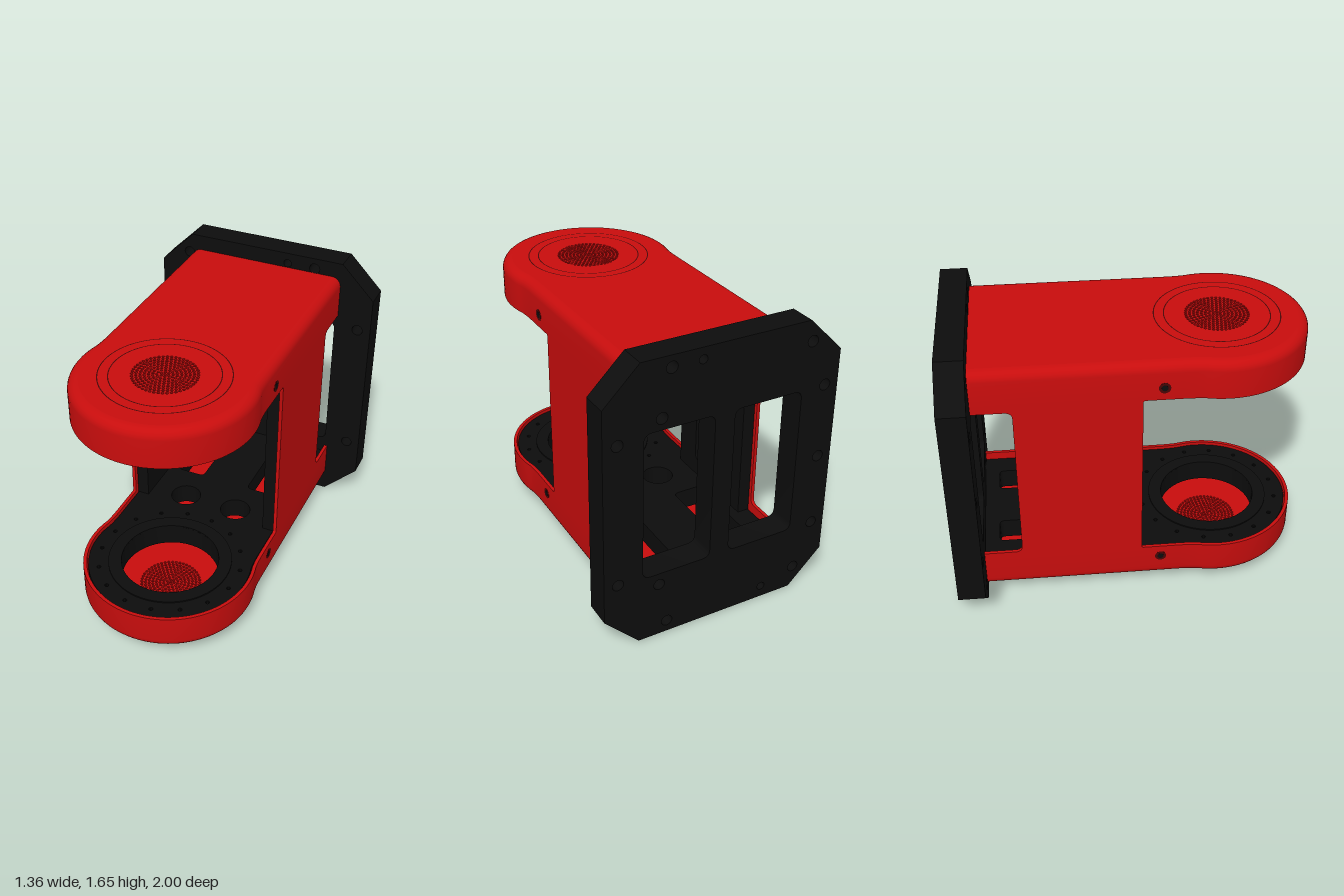
import * as THREE from 'three';
import { toCreasedNormals } from 'three/addons/utils/BufferGeometryUtils.js';

const red = new THREE.MeshStandardMaterial({ color: 0xc80d0d, side: THREE.DoubleSide });
const darkRed = new THREE.MeshStandardMaterial({ color: 0x4a0505, side: THREE.DoubleSide });
const black = new THREE.MeshStandardMaterial({ color: 0x0d0d0d });

const MID = 0.8275;          // height of the mirror plane between the two arms
const BACK = -0.845, HALF = 0.475, R = 0.497, CZ = 0.5;
const LIP = 1.342, H = 0.218, SKIN = 0.02, ROUND = 0.055;

function add(parent, name, geometry, material) {
  const mesh = new THREE.Mesh(geometry, material);
  mesh.name = name;
  parent.add(mesh);
  return mesh;
}

// Arm outline in (x, z), inset by d: straight sides, soft neck, round head
function armOutline(d) {
  const w = HALF - d, r = R - d, a0 = -0.25, side = [];
  side.push(new THREE.Vector2(w, BACK));
  const neck = new THREE.QuadraticBezierCurve(
    new THREE.Vector2(w, 0.26), new THREE.Vector2(w, 0.33),
    new THREE.Vector2(r * Math.cos(a0), CZ + r * Math.sin(a0)));
  side.push(...neck.getPoints(6));
  for (let i = 1; i <= 30; i++) {
    const a = a0 + (Math.PI / 2 - a0) * i / 30;
    side.push(new THREE.Vector2(r * Math.cos(a), CZ + r * Math.sin(a)));
  }
  const mirrored = side.slice(0, -1).reverse().map(p => new THREE.Vector2(-p.x, p.y));
  return [...side, ...mirrored];
}

function circle(x, y, r, n = 32) {
  const pts = [];
  for (let i = 0; i < n; i++) {
    const a = -2 * Math.PI * i / n;
    pts.push(new THREE.Vector2(x + r * Math.cos(a), y + r * Math.sin(a)));
  }
  return new THREE.Path(pts);
}

function roundRect(x0, y0, x1, y1, r) {
  const p = new THREE.Path();
  p.moveTo(x0 + r, y0);
  p.lineTo(x1 - r, y0).quadraticCurveTo(x1, y0, x1, y0 + r);
  p.lineTo(x1, y1 - r).quadraticCurveTo(x1, y1, x1 - r, y1);
  p.lineTo(x0 + r, y1).quadraticCurveTo(x0, y1, x0, y1 - r);
  p.lineTo(x0, y0 + r).quadraticCurveTo(x0, y0, x0 + r, y0);
  return p;
}

const extrude = (shape, depth) => toCreasedNormals(
  new THREE.ExtrudeGeometry(shape, { depth, bevelEnabled: false, curveSegments: 6 }), 0.6);

// Horizontal slab from an (x, z) shape
function slab(points, holes, y0, y1) {
  const shape = new THREE.Shape(points);
  shape.holes.push(...holes);
  return extrude(shape, y1 - y0).rotateX(Math.PI / 2).translate(0, y1, 0);
}

// Upright sheet from a (z, y) shape, between x0 and x1
function sheet(shape, x0, x1) {
  return extrude(shape, x1 - x0).rotateY(-Math.PI / 2).translate(x1, 0, 0);
}

// Hollow rounded rim swept along the arm outline
function rimGeometry() {
  const profile = [[ROUND, H - SKIN], [SKIN, H - ROUND], [SKIN, 0], [0, 0]];
  for (let i = 0; i <= 6; i++) {
    const a = Math.PI / 2 * i / 6;
    profile.push([ROUND * (1 - Math.cos(a)), H - ROUND + ROUND * Math.sin(a)]);
  }
  const pos = [], idx = [], n = profile.length;
  const loops = profile.map(([d]) => armOutline(d));
  const count = loops[0].length;
  for (let i = 0; i < count; i++)
    profile.forEach(([, y], j) => pos.push(loops[j][i].x, LIP + y, loops[j][i].y));
  for (let i = 0; i < count - 1; i++)
    for (let j = 0; j < n - 1; j++) {
      const a = i * n + j, b = a + n;
      idx.push(a, a + 1, b, b, a + 1, b + 1);
    }
  const g = new THREE.BufferGeometry();
  g.setAttribute('position', new THREE.Float32BufferAttribute(pos, 3));
  g.setIndex(idx);
  return toCreasedNormals(g, 0.6);
}

// Round collar around the head axis
function collar(inner, outer, y0, y1) {
  const pts = [[inner, y0], [outer, y0], [outer, y1], [inner, y1], [inner, y0]];
  const g = new THREE.LatheGeometry(pts.map(p => new THREE.Vector2(...p)), 64);
  return toCreasedNormals(g, 0.6).translate(0, 0, CZ);
}

// One arm in its upper position: red cover and black insert
function makeArm(name, collarDrop) {
  const arm = new THREE.Group();
  arm.name = name;
  add(arm, 'coverRim', rimGeometry(), red);

  // Cover face with the perforated grille
  const grille = [circle(0, CZ, 0.008, 8)];
  for (let k = 1; k <= 8; k++)
    for (let i = 0; i < 6 * k; i++) {
      const a = 2 * Math.PI * (i + 0.13 * k) / (6 * k), r = k * 0.0212;
      grille.push(circle(r * Math.cos(a), CZ + r * Math.sin(a), 0.008, 8));
    }
  add(arm, 'coverFace', slab(armOutline(ROUND), grille, LIP + H - SKIN, LIP + H), red);
  for (const r of [0.29, 0.345])
    add(arm, 'faceGroove', new THREE.RingGeometry(r - 0.003, r + 0.003, 72)
      .rotateX(-Math.PI / 2).translate(0, LIP + H + 0.001, CZ), darkRed);

  // Insert with head opening, round holes and long pockets
  const holes = [circle(0, CZ, 0.28, 48)];
  for (const s of [-1, 1]) {
    holes.push(circle(s * 0.165, -0.06, 0.09));
    holes.push(roundRect(s * 0.235 - 0.085, -0.76, s * 0.235 + 0.085, -0.28, 0.03));
  }
  for (let i = 0; i < 16; i++) {
    const a = 2 * Math.PI * (i + 0.5) / 16;
    holes.push(circle(0.41 * Math.cos(a), CZ + 0.41 * Math.sin(a), 0.012, 10));
  }
  add(arm, 'insert', slab(armOutline(0.028), holes, LIP + 0.015, LIP + 0.14), black);
  add(arm, 'headCollar', collar(0.28, 0.355, LIP - collarDrop, LIP + 0.06), black);

  // Screws on both flanks
  for (const s of [-1, 1]) {
    const disc = (r, out) => new THREE.CylinderGeometry(r, r, 0.02, 24)
      .rotateZ(Math.PI / 2).translate(s * (HALF - 0.01 + out), 1.415, 0.16);
    add(arm, 'screwSeat', disc(0.032, 0.001), darkRed);
    add(arm, 'screw', disc(0.018, 0.002), black);
  }
  return arm;
}

// Side wall outline in (z, y), with filleted inner corners
function wallShape() {
  const f = 0.04, g = 0.012, top = 1.36, bot = 2 * MID - top;
  const rear = 1.312, rearLow = 2 * MID - rear, front = LIP, frontLow = 2 * MID - LIP;
  const s = new THREE.Shape();
  s.moveTo(BACK, bot);
  s.lineTo(0.05 + g, bot).lineTo(0.05 + g, frontLow);
  s.quadraticCurveTo(0.05, frontLow, 0.05, frontLow + g);
  s.lineTo(0.05, front - g).quadraticCurveTo(0.05, front, 0.05 + g, front);
  s.lineTo(0.05 + g, top).lineTo(BACK, top).lineTo(BACK, rear);
  s.lineTo(-0.63 - f, rear).quadraticCurveTo(-0.63, rear, -0.63, rear - f);
  s.lineTo(-0.63, rearLow + f).quadraticCurveTo(-0.63, rearLow, -0.63 - f, rearLow);
  s.lineTo(BACK, rearLow);
  return s;
}

export function createModel() {
  const model = new THREE.Group();
  model.name = 'forkBracket';

  // Mounting plate with two windows and bolt holes
  const c = 0.2, w = 0.68, h = 1.65;
  const plate = new THREE.Shape([[-w + c, 0], [w - c, 0], [w, c], [w, h - c],
    [w - c, h], [-w + c, h], [-w, h - c], [-w, c]].map(p => new THREE.Vector2(...p)));
  plate.holes.push(roundRect(0.057, 0.4, 0.457, 1.26, 0.045), roundRect(-0.457, 0.4, -0.057, 1.26, 0.045));
  const bolts = [[-0.6, 1.26], [-0.6, 0.83], [-0.6, 0.4], [0.6, 1.24], [0.6, 0.415], [0.31, 1.585],
    [0.31, 0.07], [-0.5, 1.53], [-0.5, 0.13], [0.36, 0.33], [0.36, 1.325]];
  for (const [x, y] of bolts) plate.holes.push(circle(x, y, 0.032, 20));
  for (const [x, y] of [[0.14, 1.585], [-0.29, 0.07]]) plate.holes.push(circle(x, y, 0.024, 20));
  add(model, 'mountingPlate', extrude(plate, 0.153).translate(0, 0, -1), black);

  // Upper arm, and the lower arm turned over about the mid height
  model.add(makeArm('upperArm', 0.067));
  const lower = makeArm('lowerArm', -0.007);
  lower.rotation.z = Math.PI;
  lower.position.y = 2 * MID;
  model.add(lower);

  // Side walls with inner frame panels
  for (const s of [-1, 1]) {
    const [a, b] = s > 0 ? [HALF - SKIN, HALF] : [-HALF, SKIN - HALF];
    add(model, 'sideWall', sheet(wallShape(), a, b), red);
    const panel = new THREE.Shape([[-0.615, 0.27], [0.03, 0.27], [0.03, 1.385], [-0.615, 1.385]]
      .map(p => new THREE.Vector2(...p)));
    panel.holes.push(roundRect(-0.465, 0.4, -0.14, 1.255, 0.04));
    const [p, q] = s > 0 ? [0.38, 0.45] : [-0.45, -0.38];
    add(model, 'framePanel', sheet(panel, p, q), black);
  }
  return model;
}
